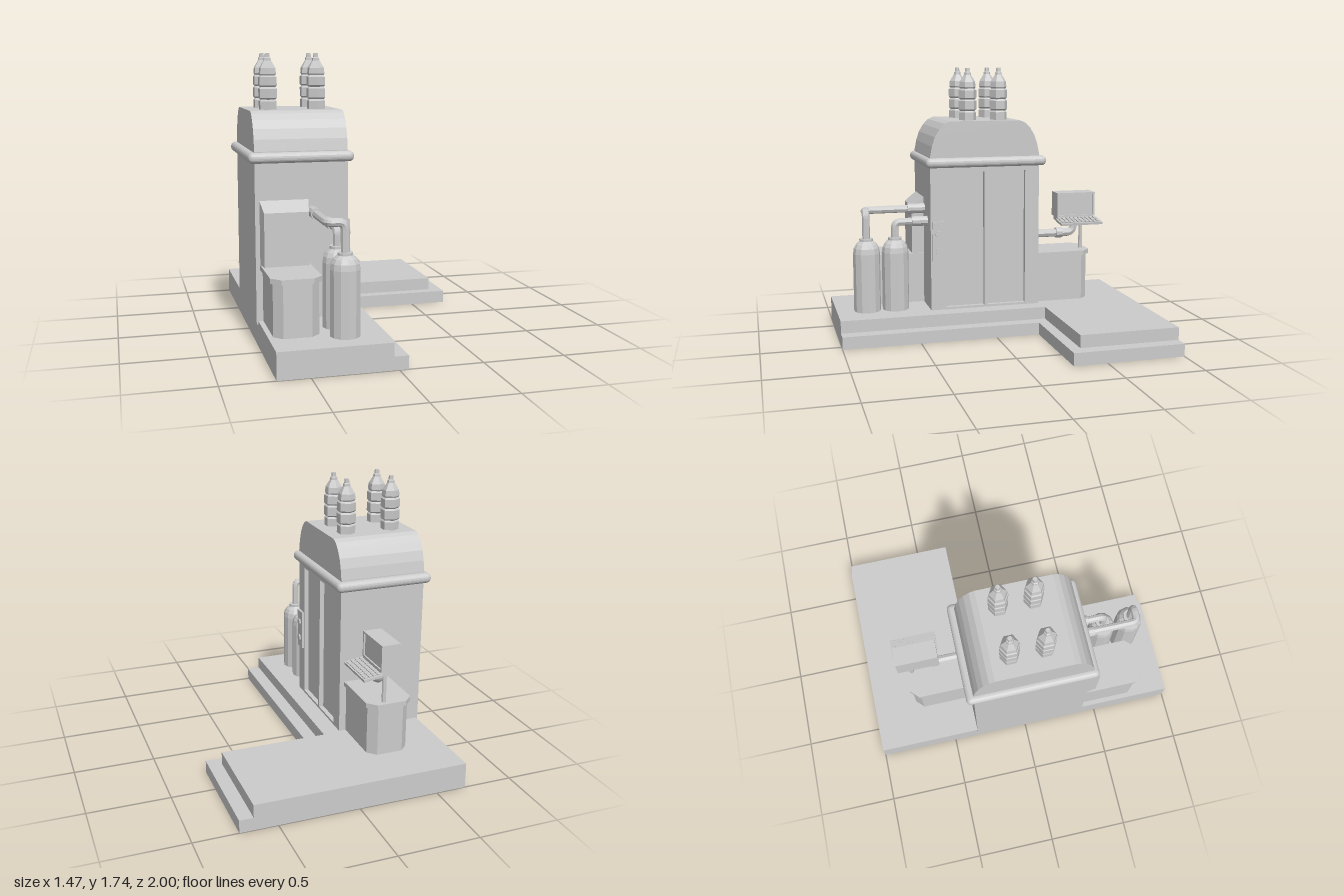
import * as THREE from 'three';
import { RoundedBoxGeometry } from 'three/addons/geometries/RoundedBoxGeometry.js';

const grey = new THREE.MeshStandardMaterial({ color: 0xcccccc, flatShading: true, side: THREE.DoubleSide });

export function createModel() {
  const model = new THREE.Group();

  const add = (name, geometry, x = 0, y = 0, z = 0, parent = model) => {
    const mesh = new THREE.Mesh(geometry, grey);
    mesh.name = name;
    mesh.position.set(x, y, z);
    parent.add(mesh);
    return mesh;
  };
  // Box given by its two extreme corners
  const box = (name, [x0, y0, z0], [x1, y1, z1], parent = model) =>
    add(name, new THREE.BoxGeometry(x1 - x0, y1 - y0, z1 - z0),
      (x0 + x1) / 2, (y0 + y1) / 2, (z0 + z1) / 2, parent);
  const shapeOf = (pts) => new THREE.Shape(pts.map(([a, b]) => new THREE.Vector2(a, b)));
  const extrude = (shape, depth) => new THREE.ExtrudeGeometry(shape, { depth, bevelEnabled: false });
  // Plan outline of [x, z] points raised from y0 to y1
  const slab = (name, pts, y0, y1) =>
    add(name, extrude(shapeOf(pts.map(([x, z]) => [x, -z])), y1 - y0).rotateX(-Math.PI / 2), 0, y0, 0);
  // Side outline of [z, y] points swept from x0 to x1
  const sideShape = (pts) => shapeOf(pts.map(([z, y]) => [-z, y]));
  const sweepX = (name, shape, x0, x1) => add(name, extrude(shape, x1 - x0).rotateY(Math.PI / 2), x0, 0, 0);
  const lathe = (pts, sides) => new THREE.LatheGeometry(pts.map(([r, y]) => new THREE.Vector2(r, y)), sides);

  // Pipe through corner points with rounded bends
  const pipe = (name, corners, radius, bend) => {
    const p = corners.map((c) => new THREE.Vector3(...c));
    const path = new THREE.CurvePath();
    let last = p[0];
    for (let i = 1; i < p.length - 1; i++) {
      const toward = (q) => p[i].clone().add(q.clone().sub(p[i]).setLength(bend));
      const a = toward(p[i - 1]), b = toward(p[i + 1]);
      path.add(new THREE.LineCurve3(last, a));
      path.add(new THREE.QuadraticBezierCurve3(a, p[i], b));
      last = b;
    }
    path.add(new THREE.LineCurve3(last, p[p.length - 1]));
    add(name, new THREE.TubeGeometry(path, 48, radius, 8));
  };
  const coupling = (x, y, z0, z1, r) =>
    add('pipeCoupling', new THREE.CylinderGeometry(r, r, z1 - z0, 10).rotateX(Math.PI / 2), x, y, (z0 + z1) / 2);

  // Stepped L-shaped platform
  const ell = (right, inner, z) => [[-0.69, -1], [right, -1], [right, z], [inner, z], [inner, 1], [-0.69, 1]];
  slab('lowerPlatform', ell(0.73, 0.055, -0.285), 0, 0.08);
  slab('upperPlatform', ell(0.645, -0.03, -0.355), 0.08, 0.16);

  // Cabinet body with two recessed doors in its left wall
  box('body', [-0.7, 0.14, -0.34], [-0.17, 1.15, 0.395]);
  const rect = (z0, z1, y0, y1) => [[z0, y0], [z1, y0], [z1, y1], [z0, y1]];
  const wall = sideShape(rect(-0.34, 0.395, 0.14, 1.15));
  for (const [z0, z1] of [[-0.245, 0.01], [0.035, 0.295]])
    wall.holes.push(sideShape(rect(z0, z1, 0.175, 1.07)));
  sweepX('doorWall', wall, -0.17, -0.14);

  // Curved roof and the rounded belt beneath it
  const half = [[0.368, 1.13], [0.368, 1.17], [0.355, 1.24], [0.335, 1.3], [0.305, 1.35], [0.27, 1.385], [0.235, 1.4]];
  const roof = [...half, ...half.slice().reverse().map(([z, y]) => [-z, y])].map(([z, y]) => [z + 0.027, y]);
  sweepX('roof', sideShape(roof), -0.7, -0.14);
  add('belt', new RoundedBoxGeometry(0.635, 0.064, 0.81, 3, 0.03), -0.42, 1.133, 0.02);

  // Four hexagonal insulators
  const insulator = [[0.058, 0], [0.058, 0.05], [0.05, 0.06], [0.06, 0.07], [0.06, 0.125], [0.05, 0.135],
    [0.06, 0.145], [0.06, 0.195], [0.05, 0.205], [0.056, 0.215], [0.052, 0.25], [0.024, 0.295],
    [0.022, 0.31], [0.016, 0.315], [0.014, 0.34], [0, 0.34]];
  for (const x of [-0.57, -0.27])
    for (const z of [-0.095, 0.115]) add('insulator', lathe(insulator, 6), x, 1.4, z);

  // Low chamfered cabinets with lids, one at the front and one at the back
  const chamfered = (x0, x1, zIn, zOut, c) => {
    const k = zOut - Math.sign(zOut) * c;
    return [[x0, zIn], [x0, k], [x0 + c, zOut], [x1 - c, zOut], [x1, k], [x1, zIn]];
  };
  for (const [end, x, zIn, zOut] of [['front', -0.675, 0.38, 0.8], ['back', -0.465, -0.33, -0.73]]) {
    const inset = 0.015;
    slab(end + 'Cabinet', chamfered(x + inset, x + 0.295 - inset, zIn, zOut - Math.sign(zOut) * inset, 0.05), 0.16, 0.47);
    slab(end + 'CabinetLid', chamfered(x, x + 0.295, zIn, zOut, 0.055), 0.47, 0.5);
  }

  // Front housing: a box whose upper front edge is pulled back and widened at the wall
  const housing = new THREE.BoxGeometry(0.295, 0.39, 0.09);
  const hp = housing.attributes.position;
  for (let i = 0; i < hp.count; i++) {
    if (hp.getZ(i) < 0) continue;
    hp.setX(i, hp.getX(i) * 0.9);
    if (hp.getY(i) > 0) hp.setY(i, 0.125);
  }
  housing.computeVertexNormals();
  add('frontHousing', housing, -0.5275, 0.695, 0.43);

  // Gas tanks and their pipes into the body
  const tank = [[0, 0], [0.088, 0], [0.088, 0.385], [0.082, 0.42], [0.068, 0.445], [0.05, 0.46], [0.045, 0.465],
    [0.045, 0.48], [0, 0.48]];
  for (const z of [0.8, 0.612]) add('tank', lathe(tank, 12), -0.26, 0.16, z);
  pipe('frontTankPipe', [[-0.26, 0.62, 0.8], [-0.26, 0.81, 0.8], [-0.36, 0.81, 0.8], [-0.36, 0.81, 0.39]], 0.025, 0.04);
  pipe('rearTankPipe', [[-0.26, 0.62, 0.612], [-0.26, 0.74, 0.612], [-0.26, 0.74, 0.39]], 0.025, 0.04);
  coupling(-0.36, 0.81, 0.39, 0.51, 0.033);
  coupling(-0.26, 0.74, 0.39, 0.5, 0.033);

  // Control plate with two dials
  box('controlPlate', [-0.145, 0.49, 0.305], [-0.125, 0.75, 0.385]);
  for (const y of [0.67, 0.555])
    add('dial', new THREE.CylinderGeometry(0.022, 0.022, 0.012, 10).rotateZ(Math.PI / 2), -0.122, y, 0.345);

  // Monitor with a framed screen
  box('monitor', [-0.34, 0.73, -0.77], [-0.23, 0.895, -0.5]);
  const bezel = sideShape(rect(-0.77, -0.5, 0.73, 0.895));
  bezel.holes.push(sideShape(rect(-0.758, -0.512, 0.742, 0.883)));
  sweepX('screenFrame', bezel, -0.23, -0.22);

  // Tilted keyboard with rows of keys
  const keyboard = new THREE.Group();
  keyboard.name = 'keyboard';
  keyboard.position.set(-0.225, 0.718, -0.637);
  keyboard.rotation.z = -0.14;
  model.add(keyboard);
  box('keyTray', [0, -0.012, -0.148], [0.122, 0.004, 0.148], keyboard);
  for (let r = 0; r < 4; r++)
    for (let c = 0; c < 10; c++)
      add('key', new THREE.BoxGeometry(0.02, 0.008, 0.021), 0.018 + r * 0.028, 0.007, (c - 4.5) * 0.028, keyboard);
  box('monitorFoot', [-0.33, 0.7, -0.76], [-0.22, 0.73, -0.51]);

  // Monitor post and cable pipe from the body
  add('monitorPost', new THREE.CylinderGeometry(0.014, 0.014, 0.23, 8), -0.28, 0.605, -0.69);
  pipe('cablePipe', [[-0.275, 0.615, -0.33], [-0.275, 0.615, -0.635], [-0.275, 0.72, -0.635]], 0.028, 0.055);
  coupling(-0.275, 0.615, -0.55, -0.505, 0.036);

  return model;
}
